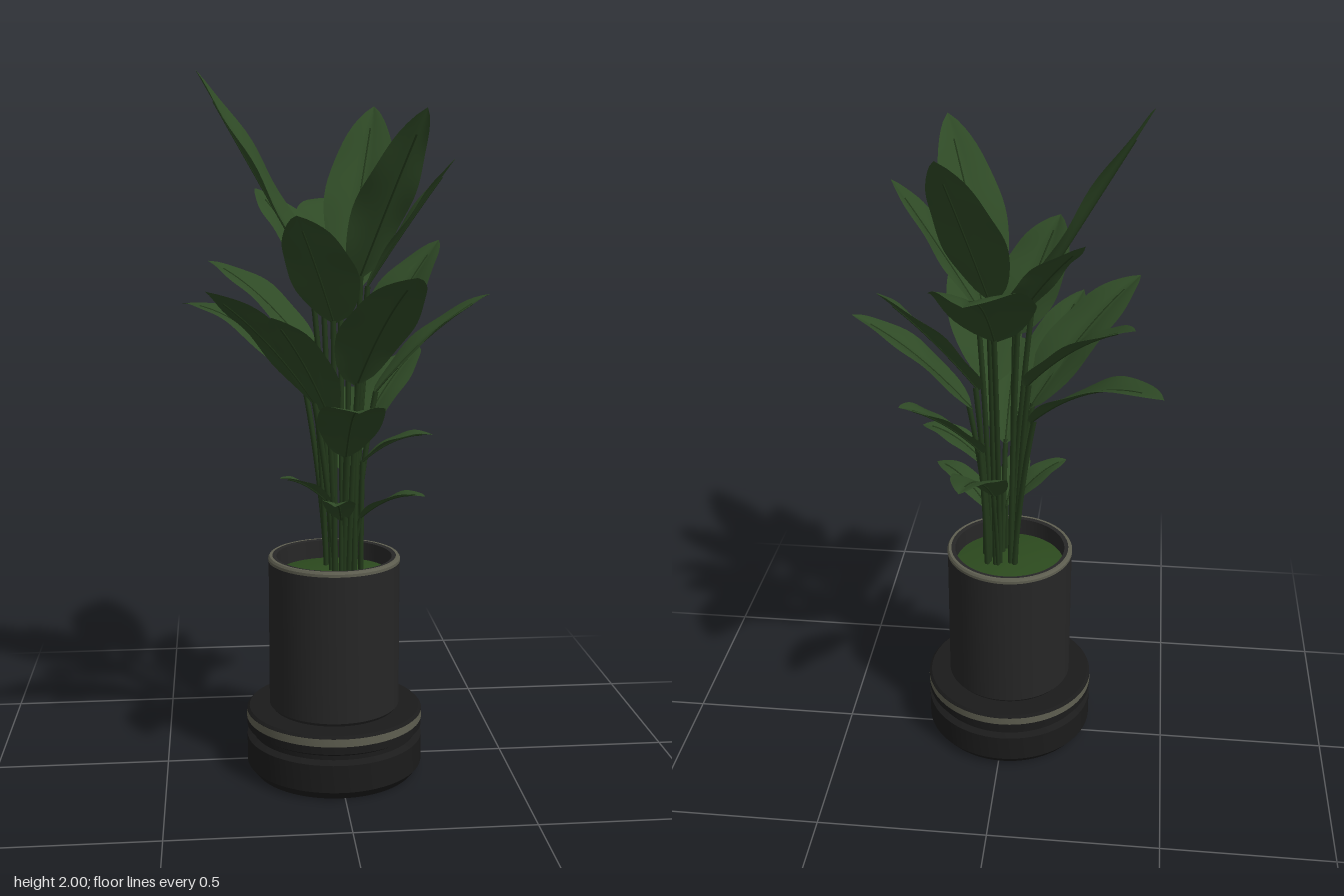
import * as THREE from 'three';
import { toCreasedNormals } from 'three/addons/utils/BufferGeometryUtils.js';

const CX = -0.01, CZ = 0.06; // pot axis
const CLUMP = new THREE.Vector3(0.015, 0.58, 0.06); // where the stems leave the soil

// Each leaf: tip x, y, z, height of the blade base, blade width
const LEAVES = [
  [-0.385, 2.0, -0.02, 1.43, 0.25],
  [0.14, 1.92, -0.28, 1.46, 0.2],
  [0.2, 1.88, 0.36, 1.43, 0.19],
  [0.32, 1.76, 0.1, 1.4, 0.16],
  [-0.22, 1.68, -0.17, 1.4, 0.18],
  [-0.13, 1.61, 0.31, 1.31, 0.21],
  [0.04, 1.65, -0.535, 1.36, 0.27],
  [0.32, 1.53, -0.16, 1.18, 0.2],
  [-0.36, 1.47, -0.2, 1.2, 0.17],
  [-0.367, 1.42, 0.351, 1.08, 0.21],
  [0.16, 1.46, 0.485, 1.14, 0.22],
  [-0.44, 1.335, -0.32, 1.1, 0.16],
  [0.435, 1.385, 0.04, 1.1, 0.15],
  [-0.2, 1.355, 0.385, 1.05, 0.15],
  [0.27, 1.21, -0.18, 0.98, 0.15],
  [0.01, 1.13, 0.535, 0.94, 0.18],
  [0.08, 1.065, -0.38, 0.86, 0.14],
  [0.26, 1.0, 0.14, 0.91, 0.1],
  [0.23, 0.84, 0.21, 0.75, 0.09],
  [-0.17, 0.89, 0.17, 0.79, 0.09],
  [-0.03, 0.84, 0.31, 0.75, 0.09],
];

function material(name, color) {
  const m = new THREE.MeshStandardMaterial({ color });
  m.name = name;
  return m;
}

function lathe(profile, crease = 0.5) {
  const pts = profile.map(([r, y]) => new THREE.Vector2(r, y));
  return toCreasedNormals(new THREE.LatheGeometry(pts, 64), crease);
}

// Blade centre line: the flatter the leaf lies, the more it arches
function bladeCurve(base, tip) {
  const run = Math.hypot(tip.x - base.x, tip.z - base.z);
  const ctrl = base.clone().lerp(tip, 0.5);
  ctrl.y += Math.max(0, 0.35 * run - 0.2 * (tip.y - base.y));
  return new THREE.QuadraticBezierCurve3(base, ctrl, tip);
}

// Pointed blade swept along a curve, folded up from the midrib with wavy edges
function bladeGeometry(curve, width, phase) {
  const rows = 20, cols = 8, pos = [], idx = [];
  const run = curve.v2.clone().sub(curve.v0);
  const side = new THREE.Vector3(run.z, 0, -run.x).normalize();
  for (let i = 0; i <= rows; i++) {
    const t = i / rows;
    const half = (width / 2) * Math.pow(t, 0.6) * Math.pow(1 - t, 0.8) / 0.384;
    const p = curve.getPoint(t);
    const up = curve.getTangent(t).cross(side).normalize();
    for (let j = 0; j <= cols; j++) {
      const s = (j / cols) * 2 - 1, a = Math.abs(s);
      const lift = half * (0.35 * a - 0.15 * a * a) + 0.05 * half * a * Math.sin(t * 13 + phase + s);
      const v = p.clone().addScaledVector(side, s * half).addScaledVector(up, lift);
      pos.push(v.x, v.y, v.z);
    }
  }
  for (let i = 0; i < rows; i++) {
    for (let j = 0; j < cols; j++) {
      const a = i * (cols + 1) + j, b = a + cols + 1;
      idx.push(a, b, a + 1, a + 1, b, b + 1);
    }
  }
  const g = new THREE.BufferGeometry();
  g.setAttribute('position', new THREE.Float32BufferAttribute(pos, 3));
  g.setIndex(idx);
  g.computeVertexNormals();
  return g;
}

export function createModel() {
  const model = new THREE.Group();
  model.name = 'pottedPlant';

  const potMat = material('charcoal', 0x262626);
  const baseMat = material('dark charcoal', 0x1b1b1b);
  const trimMat = material('olive grey', 0x5e5e50);
  const soilMat = material('moss green', 0x2c4a1e);
  const stemMat = material('stem green', 0x22381a);
  const leafMat = material('leaf green', 0x2f4a26);
  leafMat.side = THREE.DoubleSide;

  const add = (name, geo, mat, parent) => {
    const mesh = new THREE.Mesh(geo, mat);
    mesh.name = name;
    parent.add(mesh);
  };

  // Planter: grooved base, straight pot, trims and soil
  const planter = new THREE.Group();
  planter.name = 'planter';
  planter.position.set(CX, 0, CZ);
  model.add(planter);
  add('base', lathe([[0, 0], [0.235, 0], [0.255, 0.025], [0.255, 0.105], [0.238, 0.115],
    [0.238, 0.128], [0.255, 0.138], [0.255, 0.183], [0.248, 0.19], [0, 0.19]]), baseMat, planter);
  add('baseTrim', lathe([[0.256, 0.16], [0.256, 0.183]]), trimMat, planter);
  add('pot', lathe([[0.18, 0.189], [0.189, 0.2], [0.189, 0.632], [0.184, 0.638],
    [0.166, 0.638], [0.164, 0.57]]), potMat, planter);
  add('rimTrim', lathe([[0.19, 0.626], [0.19, 0.634], [0.186, 0.64], [0.178, 0.64]]), trimMat, planter);
  add('soil', lathe([[0.166, 0.585], [0.1, 0.597], [0, 0.603]], 1.2), soilMat, planter);

  // Leaves: a stem rising from the soil, an arching blade and its midrib
  LEAVES.forEach(([x, y, z, baseY, width], i) => {
    const leaf = new THREE.Group();
    leaf.name = `leaf${i + 1}`;
    model.add(leaf);

    const tip = new THREE.Vector3(x, y, z);
    const base = CLUMP.clone().lerp(tip, 0.2).setY(baseY);
    const spine = bladeCurve(base, tip);
    add('blade', bladeGeometry(spine, width, i * 1.7), leafMat, leaf);

    const outward = tip.clone().sub(CLUMP).setY(0).normalize();
    const root = CLUMP.clone().addScaledVector(outward, 0.03 + 0.012 * (i % 3));
    const bend = root.clone().lerp(base, 0.4).setY(root.y + (baseY - root.y) * 0.6);
    const stem = new THREE.QuadraticBezierCurve3(root, bend, spine.getPoint(0.03));
    add('stem', new THREE.TubeGeometry(stem, 14, baseY > 0.9 ? 0.008 : 0.006, 7), stemMat, leaf);

    const rib = new THREE.QuadraticBezierCurve3(base, base.clone().lerp(spine.v1, 0.85), spine.getPoint(0.85));
    add('midrib', new THREE.TubeGeometry(rib, 12, 0.003, 5), stemMat, leaf);
  });

  return model;
}
